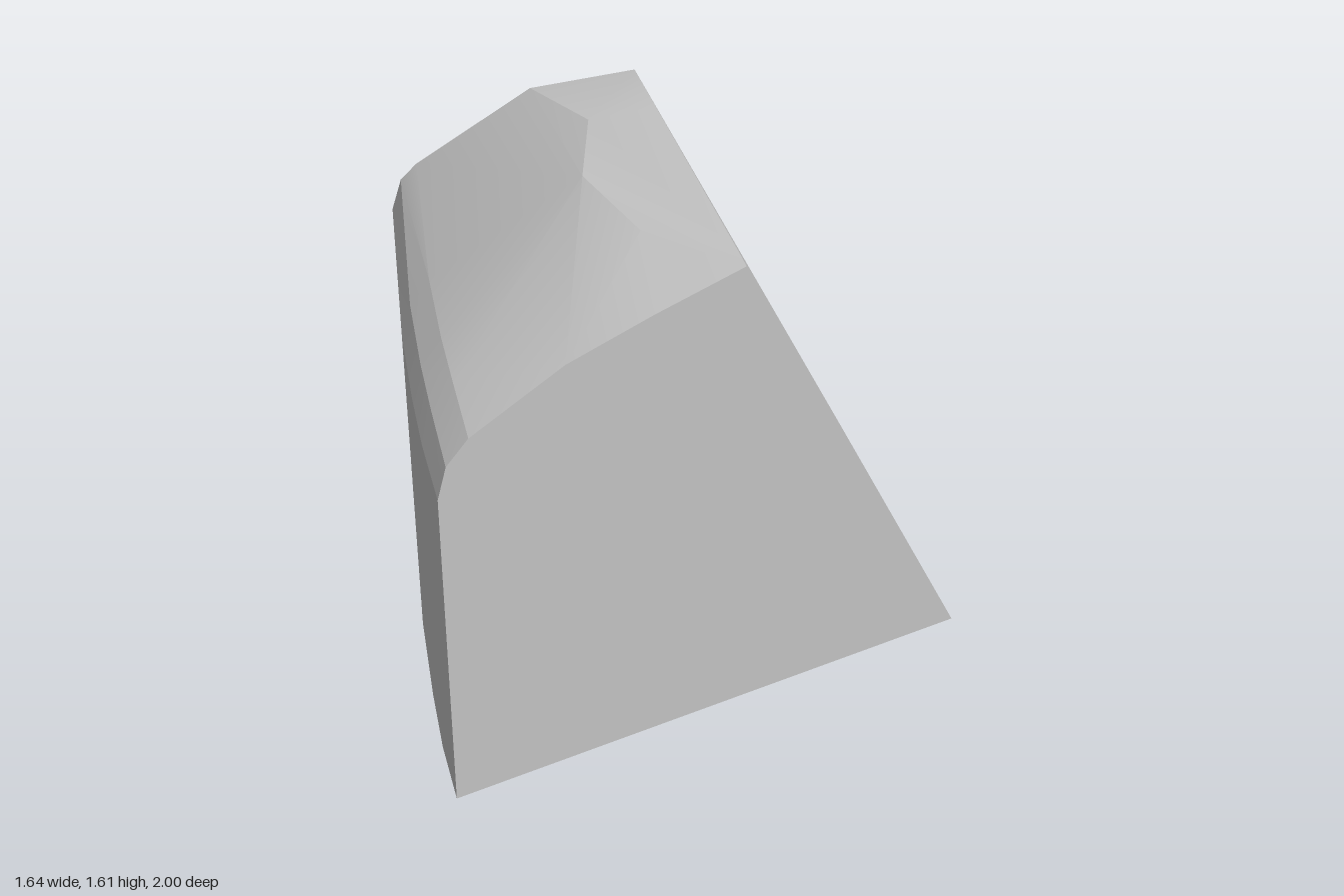
import * as THREE from 'three';
import { ConvexGeometry } from 'three/addons/geometries/ConvexGeometry.js';
import { toCreasedNormals } from 'three/addons/utils/BufferGeometryUtils.js';

// Flat cut planes of the block
const frontZ = (x, y) => 0.955 - 0.0655 * (x + 0.02) + 0.0087 * (y - 1.575);
const backZ = (x, y) => -0.96 + 0.3995 * (x + 0.66) - 0.0376 * y;
const bottomY = (x, z) => 0.30 + 0.172 * (x - 0.82) + 0.0684 * (z + 0.38);
const sideX = (y, z) => 0.66 - 0.554 * (y - 0.36) - 0.099 * (z - 0.9);

export function createModel() {
  const group = new THREE.Group();
  const stone = new THREE.MeshStandardMaterial({ color: 0xc4c4c4 });
  stone.name = 'pale grey stone';
  const points = [];
  const add = (x, y, z) => points.push(new THREE.Vector3(x, y, z));

  // Lower corners of the sloping side
  add(0.82, 0.30, -0.38);
  add(0.66, 0.36, 0.90);

  // Gently bowed left wall, foot and shoulder: x, z
  for (const [x, z] of [[-0.78, 0.08], [-0.81, 0.48], [-0.824, 0.75]]) {
    add(x, bottomY(x, z), z);
    add(x, 1.08, z);
    add(x + 0.03, 1.175, z);
    add(x + 0.09, 1.25, z);
  }

  // Outline of the front face: x, y
  for (const [x, y] of [[-0.825, 0.11], [-0.825, 1.06], [-0.80, 1.15],
    [-0.74, 1.22], [-0.49, 1.38], [-0.26, 1.48], [-0.02, 1.575]]) add(x, y, frontZ(x, y));

  // Outline of the back face: x, y
  for (const [x, y] of [[-0.66, 0.005], [-0.66, 1.06], [-0.625, 1.17],
    [-0.57, 1.23], [-0.19, 1.51], [0.14, 1.585]]) add(x, y, backZ(x, y));

  // Crest along the sloping side: y, z
  for (const [y, z] of [[1.582, 0.88], [1.61, -0.22], [1.604, -0.48]]) add(sideX(y, z), y, z);

  // Worn ridge across the top
  add(-0.26, 1.575, 0.22);
  add(-0.20, 1.56, 0.62);
  add(-0.14, 1.595, -0.2);

  const rock = new THREE.Mesh(toCreasedNormals(new ConvexGeometry(points), 0.22), stone);
  rock.name = 'rockFragment';
  group.add(rock);
  return group;
}
